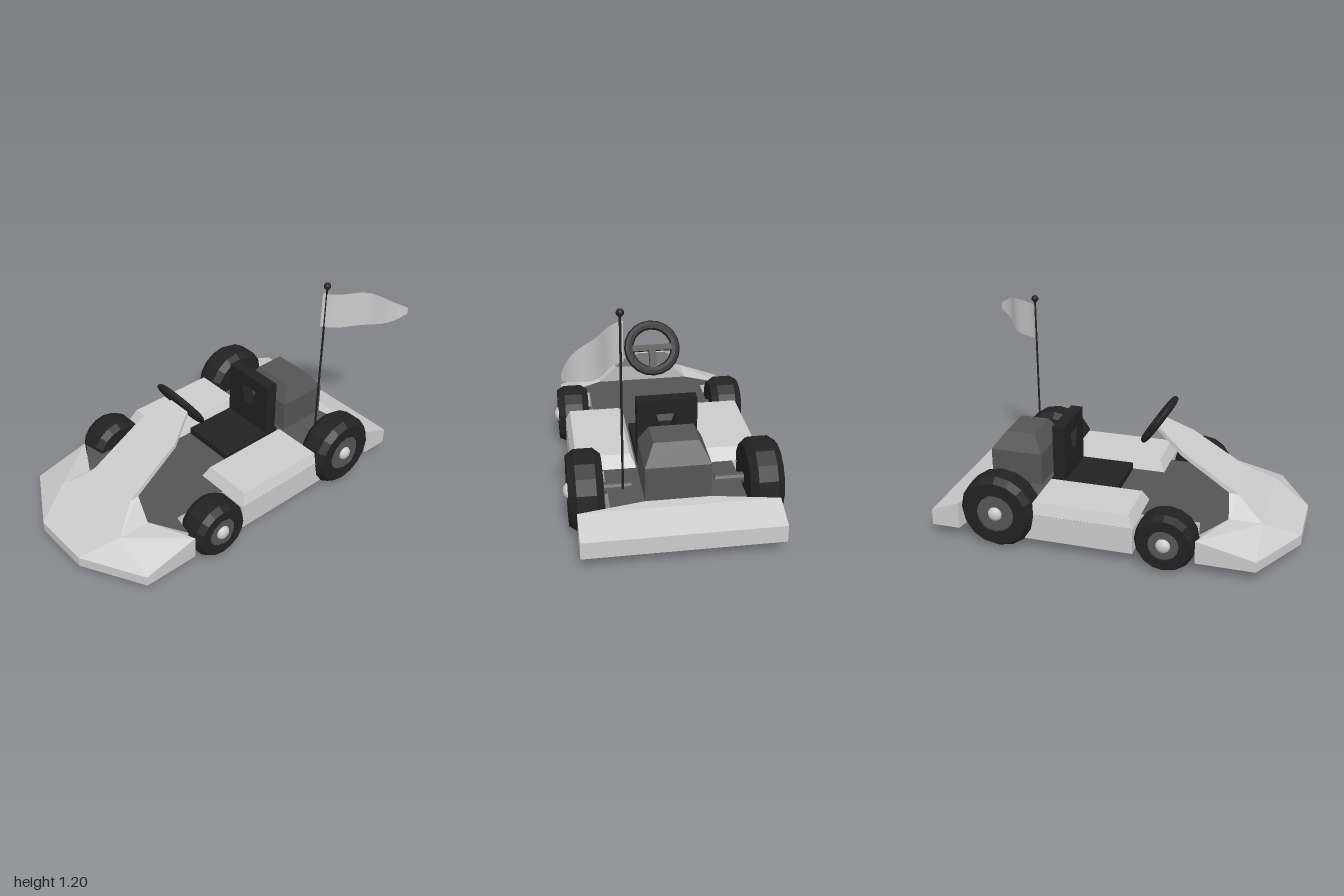
import * as THREE from 'three';
import { ConvexGeometry } from 'three/addons/geometries/ConvexGeometry.js';

const mat = (color, opts = {}) => new THREE.MeshStandardMaterial({ color, flatShading: true, ...opts });
const light = mat(0xcccccc);
const smoothLight = mat(0xcccccc, { flatShading: false });
const dark = mat(0x555555);
const black = mat(0x222222);

const V = (x, y, z) => new THREE.Vector3(x, y, z);

function add(parent, name, geometry, material, x = 0, y = 0, z = 0) {
  const mesh = new THREE.Mesh(geometry, material);
  mesh.name = name;
  mesh.position.set(x, y, z);
  parent.add(mesh);
  return mesh;
}

// Horizontal slab from the +x half of a plan outline given as [x, z]
function slab(half, bottom, top) {
  const all = [...half, ...half.map(([x, z]) => [-x, z]).reverse()];
  const shape = new THREE.Shape(all.map(([x, z]) => new THREE.Vector2(x, z)));
  const g = new THREE.ExtrudeGeometry(shape, { depth: top - bottom, bevelEnabled: false });
  return g.rotateX(Math.PI / 2).translate(0, top, 0);
}

// Solid with a rectangular base and a smaller rectangular top
function frustum(base, top, y0, y1) {
  const corners = ([x0, x1, z0, z1], y) => [V(x0, y, z0), V(x1, y, z0), V(x1, y, z1), V(x0, y, z1)];
  return new ConvexGeometry([...corners(base, y0), ...corners(top, y1)]);
}

// Convex block dropped from its top corners to the underside
const block = (pts) => new ConvexGeometry([...pts, ...pts.map((p) => V(p.x, 0.075, p.z))]);
const mirrored = (pts) => [...pts, ...pts.map((p) => V(-p.x, p.y, p.z))];

// Steering panel: four-cornered sections [halfWidth, frontY, frontZ, backY, backZ]
function panelGeometry(sections) {
  const pos = [];
  const idx = [];
  for (const [w, fy, fz, by, bz] of sections) pos.push(-w, fy, fz, w, fy, fz, w, by, bz, -w, by, bz);
  for (let i = 0; i < sections.length - 1; i++) {
    for (let j = 0; j < 4; j++) {
      const a = i * 4 + j, b = i * 4 + ((j + 1) % 4);
      idx.push(a, b, b + 4, a, b + 4, a + 4);
    }
  }
  const e = (sections.length - 1) * 4;
  idx.push(e, e + 1, e + 2, e, e + 2, e + 3);
  const g = new THREE.BufferGeometry();
  g.setAttribute('position', new THREE.Float32BufferAttribute(pos, 3));
  g.setIndex(idx);
  g.computeVertexNormals();
  return g;
}

function wheel(name, r, side, z) {
  const g = new THREE.Group();
  g.name = name;
  // Tyre section: chamfered tread and a recess for the hub
  const profile = [[0.01, -0.088], [r * 0.85, -0.088], [r, -0.05], [r, 0.05], [r * 0.87, 0.088],
    [r * 0.52, 0.088], [r * 0.48, 0.07], [0.01, 0.07]];
  const tyre = new THREE.LatheGeometry(profile.map(([x, y]) => new THREE.Vector2(x, y)), 16);
  add(g, 'tyre', tyre.rotateZ(-Math.PI / 2), black);
  add(g, 'hub', new THREE.CylinderGeometry(r * 0.5, r * 0.5, 0.03, 16).rotateZ(Math.PI / 2), dark, 0.068);
  const cap = add(g, 'hubCap', new THREE.SphereGeometry(0.04, 14, 10), smoothLight, 0.083);
  cap.scale.x = 0.7;
  add(g, 'axle', new THREE.CylinderGeometry(0.03, 0.03, 0.2, 12).rotateZ(Math.PI / 2), dark, -0.14);
  g.position.set(side * 0.457, r + 0.004, z);
  if (side < 0) g.rotation.y = Math.PI;
  return g;
}

export function createModel() {
  const kart = new THREE.Group();
  kart.name = 'kart';

  // Chassis: dark deck with light edges, and a dark underside
  add(kart, 'floor', slab([[0.17, -0.775], [0.345, -0.81], [0.345, -0.45], [0.51, -0.45], [0.51, 0.155],
    [0.345, 0.155], [0.345, 0.48], [0.47, 0.505], [0.27, 0.62]], 0.077, 0.224), [dark, light]);
  add(kart, 'underside', slab([[0.51, -1], [0.51, -0.84], [0.345, -0.81], [0.345, -0.45], [0.51, -0.45],
    [0.51, 0.155], [0.345, 0.155], [0.345, 0.48], [0.51, 0.49], [0.51, 0.81], [0.17, 1]], 0.073, 0.078), [dark, light]);

  // Rear bumper
  add(kart, 'rearBumper', block(mirrored([V(0.51, 0.165, -1), V(0.51, 0.225, -0.84), V(0.17, 0.225, -0.775)])), light);

  // Nose: middle block and two swept wings
  add(kart, 'nose', block(mirrored([V(0.17, 0.132, 1), V(0.27, 0.225, 0.8), V(0.27, 0.225, 0.62)])), light);
  for (const s of [1, -1]) {
    add(kart, s > 0 ? 'leftNoseWing' : 'rightNoseWing', block([V(s * 0.17, 0.132, 1), V(s * 0.51, 0.132, 0.81),
      V(s * 0.51, 0.205, 0.49), V(s * 0.27, 0.225, 0.62), V(s * 0.27, 0.225, 0.8)]), light);
  }

  // Steering panel rising from the nose
  add(kart, 'steeringPanel', panelGeometry([
    [0.27, 0.225, 0.8, 0.225, 0.62],
    [0.168, 0.322, 0.655, 0.328, 0.6],
    [0.148, 0.53, 0.33, 0.505, 0.325],
    [0.07, 0.627, 0.18, 0.605, 0.175],
  ]), light);

  // Side pods
  for (const s of [1, -1]) {
    const span = (a, b, z0, z1) => [s * a, s * b, z0, z1];
    add(kart, s > 0 ? 'leftPod' : 'rightPod',
      frustum(span(0.17, 0.51, -0.45, 0.16), span(0.2, 0.485, -0.405, 0.125), 0.222, 0.287), light);
  }

  // Seat with an opening in its back
  add(kart, 'seatCushion', new THREE.BoxGeometry(0.325, 0.045, 0.39), black, 0, 0.244, -0.225);
  const quad = (Type, w0, y0, w1, y1) => new Type([[-w0, y0], [w0, y0], [w1, y1], [-w1, y1]]
    .map(([x, y]) => new THREE.Vector2(x, y)));
  const back = quad(THREE.Shape, 0.16, 0.224, 0.16, 0.59);
  back.holes.push(quad(THREE.Path, 0.025, 0.4, 0.06, 0.51));
  add(kart, 'seatBack', new THREE.ExtrudeGeometry(back, { depth: 0.07, bevelEnabled: false }), black, 0, 0, -0.405);

  // Engine block with a tapered top
  add(kart, 'engine', new THREE.BoxGeometry(0.335, 0.19, 0.3), dark, 0, 0.315, -0.625);
  add(kart, 'engineTop', frustum([-0.1675, 0.1675, -0.775, -0.475], [-0.115, 0.115, -0.7, -0.53], 0.41, 0.51), dark);

  // Steering wheel tilted toward the seat
  const steering = new THREE.Group();
  steering.name = 'steeringWheel';
  const rim = add(steering, 'rim', new THREE.TorusGeometry(0.134, 0.027, 8, 20), black);
  rim.scale.z = 0.7;
  add(steering, 'crossSpoke', new THREE.BoxGeometry(0.25, 0.035, 0.025), black);
  add(steering, 'lowerSpoke', new THREE.BoxGeometry(0.04, 0.125, 0.025), black, 0, -0.065);
  steering.position.set(0, 0.637, 0.168);
  steering.lookAt(0, 0.637 + 0.57, 0.168 - 0.82);
  kart.add(steering);

  // Wheels
  for (const s of [1, -1]) {
    const name = s > 0 ? 'Left' : 'Right';
    kart.add(wheel('front' + name + 'Wheel', 0.165, s, 0.328));
    kart.add(wheel('rear' + name + 'Wheel', 0.21, s, -0.605));
  }

  // Flag pole, ball and rippled flag
  add(kart, 'flagPole', new THREE.CylinderGeometry(0.006, 0.006, 1.115, 8), black, 0.264, 0.6275, -0.645);
  add(kart, 'flagPoleBall', new THREE.SphereGeometry(0.02, 10, 8), black, 0.264, 1.185, -0.645);
  const flag = new THREE.PlaneGeometry(1, 1, 14, 4);
  const p = flag.attributes.position;
  for (let i = 0; i < p.count; i++) {
    const u = p.getX(i) + 0.5, v = p.getY(i);
    const t = Math.max(0, (u - 0.4) / 0.6);
    const ripple = 0.012 * Math.sin(u * Math.PI * 3);
    p.setXYZ(i, 0.249 + 0.31 * u + ripple * 0.7, 1.034 + v * 0.21 * (1 - 0.82 * t ** 2), -0.63 - 0.355 * u + ripple);
  }
  flag.computeVertexNormals();
  add(kart, 'flag', flag, mat(0xcccccc, { flatShading: false, side: THREE.DoubleSide }));

  return kart;
}
